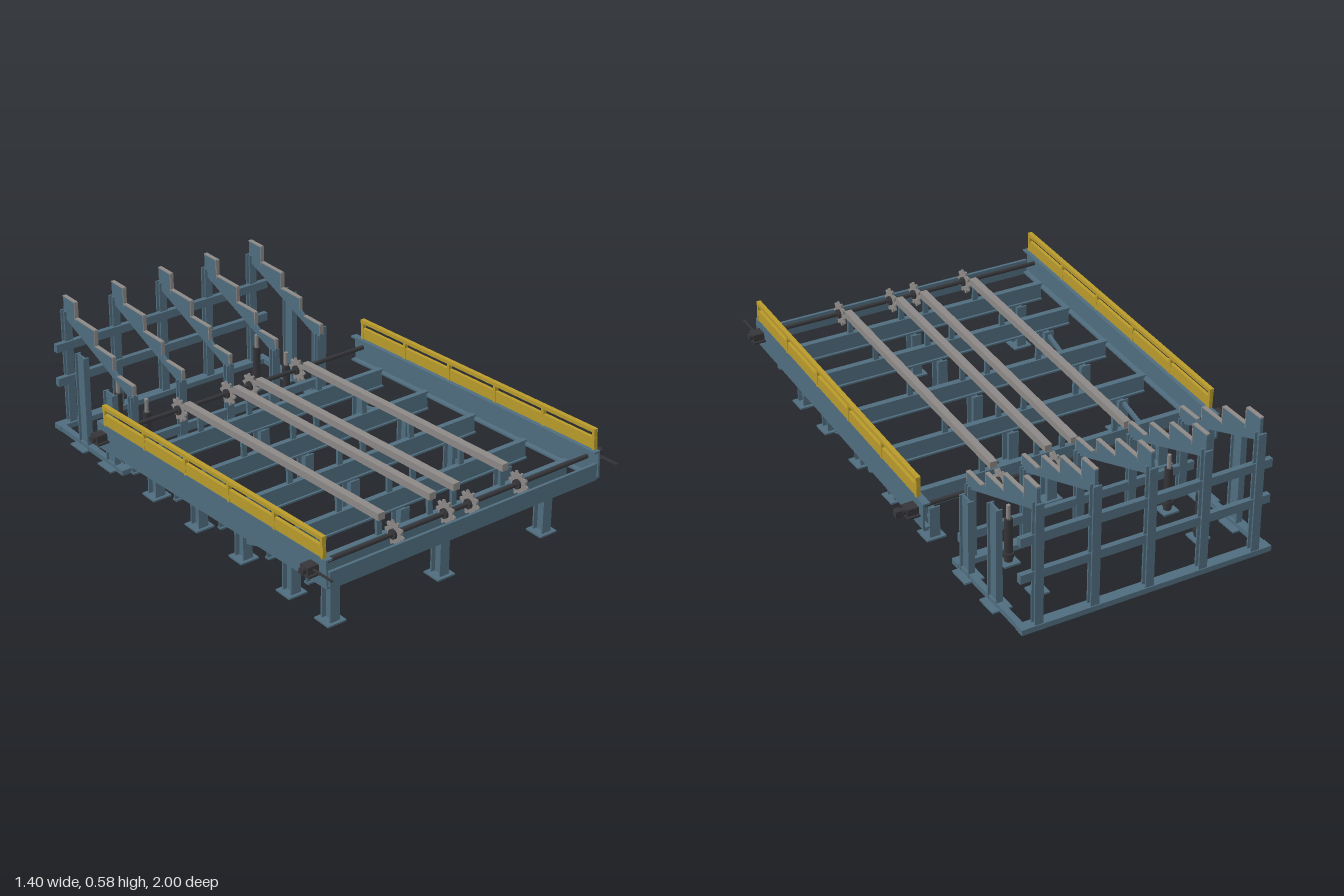
import * as THREE from 'three';

const mat = (color) => new THREE.MeshStandardMaterial({ color });
const blue = mat(0x4f6d7e), yellow = mat(0xb89a2b), dark = mat(0x36363a), grey = mat(0x8b8886);
const CX = -0.02;                       // centre line of the machine
const SLOPE = 0.0545, DECK_Y = 0.267;   // deck falls towards the back
const deckY = (z) => DECK_Y + SLOPE * z;

function add(parent, name, geometry, material, x, y, z) {
  const m = new THREE.Mesh(geometry, material);
  m.name = name;
  m.position.set(x, y, z);
  parent.add(m);
  return m;
}
const box = (p, name, material, w, h, d, x, y, z) =>
  add(p, name, new THREE.BoxGeometry(w, h, d), material, x, y, z);

// Cylinder lying along x
function rod(p, name, material, r, len, x, y, z, sides = 16) {
  const m = add(p, name, new THREE.CylinderGeometry(r, r, len, sides), material, x, y, z);
  m.rotation.z = Math.PI / 2;
  return m;
}

// Extrude a closed outline along z, centred on its length
function extrude(points, len) {
  const shape = new THREE.Shape(points.map(([x, y]) => new THREE.Vector2(x, y)));
  const g = new THREE.ExtrudeGeometry(shape, { depth: len, bevelEnabled: false });
  g.translate(0, 0, -len / 2);
  return g;
}

// I section: flanges at top and bottom, web between
function iBeam(w, h, len, t = 0.007) {
  const a = w / 2, b = h / 2, c = t / 2;
  return extrude([[-a, -b], [a, -b], [a, -b + t], [c, -b + t], [c, b - t], [a, b - t],
    [a, b], [-a, b], [-a, b - t], [-c, b - t], [-c, -b + t], [-a, -b + t]], len);
}

// C section with its web on the outer side s
function channel(w, h, len, s, t = 0.008) {
  const a = w / 2, b = h / 2;
  const pts = [[a, -b], [a, b], [-a, b], [-a, b - t], [a - t, b - t], [a - t, -b + t],
    [-a, -b + t], [-a, -b]];
  return extrude(s > 0 ? pts : pts.map(([x, y]) => [-x, y]).reverse(), len);
}

// Toothed wheel standing across x
function sprocket(r, teeth, t) {
  const pts = [];
  for (let i = 0; i < teeth * 4; i++) {
    const a = (i / (teeth * 4)) * Math.PI * 2;
    const k = i % 4 < 2 ? r : r * 0.76;
    pts.push([Math.cos(a) * k, Math.sin(a) * k]);
  }
  return extrude(pts, t).rotateY(Math.PI / 2);
}

function buildDeck() {
  const deck = new THREE.Group();
  deck.name = 'slopingDeck';
  deck.position.y = DECK_Y;
  deck.rotation.x = -Math.atan(SLOPE);

  for (const s of [-1, 1]) {
    const x = CX + s * 0.613;
    add(deck, 'sideBeam', channel(0.028, 0.11, 1.425, s), blue, x, -0.013, 0.2225);
    // Guard rail
    const gx = CX + s * 0.62;
    box(deck, 'handrail', yellow, 0.018, 0.015, 1.36, gx, 0.118, 0.24);
    box(deck, 'toeBoard', yellow, 0.014, 0.045, 1.36, gx, 0.067, 0.24);
    for (let i = 0; i < 6; i++)
      box(deck, 'railPost', yellow, 0.016, 0.08, 0.013, gx, 0.08, 0.912 - i * 0.269);
    // Bearings at both shafts
    for (const z of [-0.44, 0.875]) {
      const bx = CX + s * 0.652;
      box(deck, 'bearingHousing', dark, 0.045, 0.03, 0.045, bx, 0, z);
      box(deck, 'bearingFoot', dark, 0.05, 0.008, 0.062, bx, -0.018, z);
      rod(deck, 'bearingCap', dark, 0.014, 0.02, CX + s * 0.678, 0, z, 12);
    }
    box(deck, 'takeUpRod', dark, 0.007, 0.007, 0.13, CX + s * 0.652, 0.002, 0.935);
  }
  box(deck, 'frontPlate', blue, 1.225, 0.066, 0.012, CX, -0.04, 0.929);

  for (const z of [-0.44, 0.875]) rod(deck, 'shaft', dark, 0.009, 1.34, CX, 0, z);
  rod(deck, 'driveStub', dark, 0.006, 0.06, 0.65, 0, -0.44);
  box(deck, 'driveCoupling', dark, 0.025, 0.026, 0.026, 0.682, 0, -0.44);

  const crossZ = [-0.3, -0.015, 0.27, 0.56, 0.785];
  for (const z of crossZ)
    add(deck, 'crossBeam', iBeam(0.024, 0.08, 1.205), blue, CX, -0.08, z).rotation.y = Math.PI / 2;

  // Runner tracks with a sprocket at each end
  for (const x of [-0.305, -0.075, 0.035, 0.265]) {
    box(deck, 'runnerTrack', grey, 0.03, 0.028, 1.19, x, 0.038, 0.21);
    for (const z of crossZ) box(deck, 'trackBracket', blue, 0.022, 0.064, 0.012, x, -0.008, z);
    for (const z of [-0.44, 0.875]) {
      add(deck, 'sprocket', sprocket(0.05, 10, 0.008), grey, x, 0, z);
      rod(deck, 'sprocketHub', dark, 0.019, 0.028, x, 0, z);
    }
  }
  return deck;
}

function buildLegs() {
  const legs = new THREE.Group();
  legs.name = 'deckLegs';
  for (const x of [-0.515, CX, 0.475]) {
    for (const z of [-0.297, -0.01, 0.272, 0.562, 0.787]) {
      const top = deckY(z) - 0.118;
      box(legs, 'footPlate', blue, 0.08, 0.007, 0.08, x, 0.0035, z);
      const leg = add(legs, 'leg', iBeam(0.042, 0.055, top - 0.007), blue, x, (top + 0.007) / 2, z);
      leg.rotation.x = Math.PI / 2;
    }
    // Diagonal braces under the outer rows
    if (x !== CX) {
      for (const [z0, y0, z1, y1] of [[0.565, 0.17, 0.28, 0.075], [0, 0.142, -0.295, 0.07]]) {
        const b = box(legs, 'diagonalBrace', blue, 0.014, 0.015, Math.hypot(z0 - z1, y0 - y1),
          x, (y0 + y1) / 2, (z0 + z1) / 2);
        b.rotation.x = -Math.atan2(y0 - y1, z0 - z1);
      }
    }
  }
  return legs;
}

function buildRack() {
  const rack = new THREE.Group();
  rack.name = 'steppedRack';

  // Base frame
  for (const z of [-0.52, -0.978]) box(rack, 'baseRail', blue, 1.04, 0.022, 0.044, CX, 0.013, z);
  for (const s of [-1, 1]) {
    const x = CX + s * 0.505;
    box(rack, 'baseSide', blue, 0.024, 0.022, 0.46, x, 0.013, -0.75);
    // Side columns
    for (const [z, top] of [[-0.585, 0.325], [-0.785, 0.405]]) {
      box(rack, 'columnFoot', blue, 0.08, 0.007, 0.095, x, 0.0035, z - 0.007);
      const c = add(rack, 'sideColumn', iBeam(0.026, 0.065, top - 0.007), blue, x, (top + 0.007) / 2, z);
      c.rotation.x = Math.PI / 2;
    }
    // Upright cylinders
    for (const z of [-0.795, -0.59]) {
      const cx = CX + s * 0.34;
      box(rack, 'cylinderPlate', blue, 0.066, 0.008, 0.066, cx, 0.004, z);
      add(rack, 'cylinderCollar', new THREE.CylinderGeometry(0.021, 0.021, 0.02, 12), dark, cx, 0.035, z);
      add(rack, 'cylinderBody', new THREE.CylinderGeometry(0.016, 0.016, 0.18, 12), dark, cx, 0.098, z);
      add(rack, 'cylinderRod', new THREE.CylinderGeometry(0.008, 0.008, 0.06, 12), grey, cx, 0.215, z);
    }
  }

  // Cross rails
  box(rack, 'frontRail', blue, 1.0, 0.035, 0.02, CX, 0.113, -0.514);
  for (const y of [0.218, 0.368]) box(rack, 'rearRail', blue, 1.03, 0.035, 0.022, CX, y, -0.967);

  // Five stepped ribs; steps are [front z, back z, height]
  const steps = [[-0.497, -0.605, 0.372], [-0.635, -0.76, 0.44], [-0.76, -0.9, 0.507], [-0.9, -0.985, 0.575]];
  const slopeY = (z) => 0.33 + (-0.495 - z) * 0.4;
  const outline = [];
  for (const [z0, z1, y] of steps) outline.push([-z0, slopeY(z0)], [-z0, y], [-z1, y - 0.004]);
  outline.push([0.985, 0.485], [0.497, 0.3]);
  for (let i = 0; i < 5; i++) {
    const x = CX + (i - 2) * 0.225;
    const rib = add(rack, 'steppedRib', extrude(outline, 0.013), blue, x, 0, 0);
    rib.rotation.y = Math.PI / 2;
    for (const [z0, z1, y] of steps) {
      box(rack, 'wearStrip', grey, 0.016, 0.004, z0 - z1, x, y, (z0 + z1) / 2);
      const low = slopeY(z0);
      box(rack, 'wearFace', grey, 0.016, y - low, 0.004, x, (y + low) / 2, z0);
    }
    const front = add(rack, 'frontPost', iBeam(0.034, 0.026, 0.3), blue, x, 0.174, -0.513);
    const rear = add(rack, 'rearPost', iBeam(0.034, 0.03, 0.49), blue, x, 0.268, -0.981);
    front.rotation.x = rear.rotation.x = Math.PI / 2;
  }
  return rack;
}

export function createModel() {
  const model = new THREE.Group();
  model.name = 'slopingTransferDeck';
  model.add(buildDeck(), buildLegs(), buildRack());
  return model;
}
